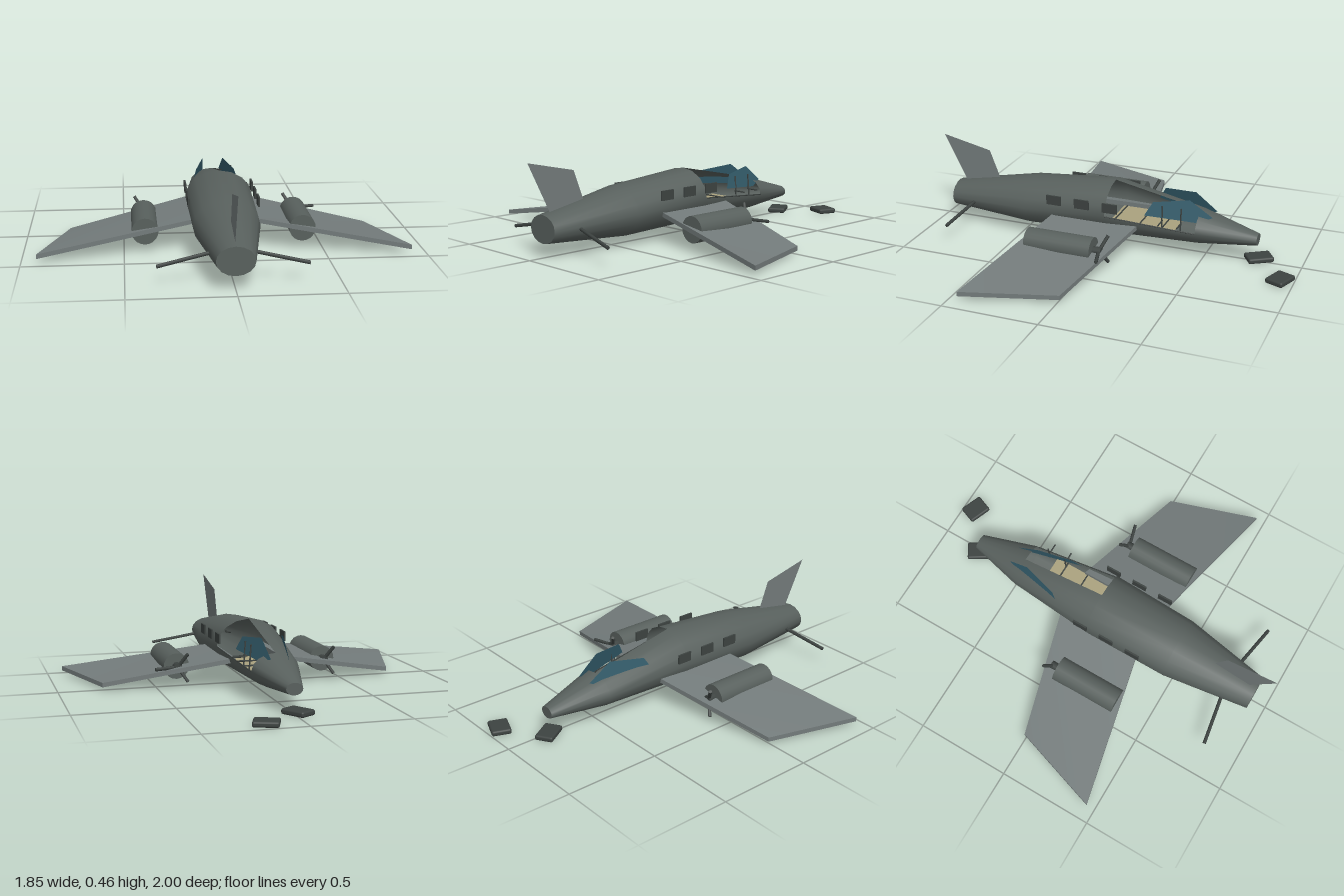
import * as THREE from 'three';
import { RoundedBoxGeometry } from 'three/addons/geometries/RoundedBoxGeometry.js';

const mat = (name, color, side = THREE.FrontSide) => {
  const m = new THREE.MeshStandardMaterial({ color, side });
  m.name = name;
  return m;
};
const V = (x, y, z) => new THREE.Vector3(x, y, z);

export function createModel() {
  const root = new THREE.Group();
  root.name = 'wreckedAircraft';
  const hull = mat('hullGrey', 0x58605d, THREE.DoubleSide);
  const wingGrey = mat('wingGrey', 0x737b7b, THREE.DoubleSide);
  const dark = mat('darkMetal', 0x3d4341);
  const glass = mat('canopyGlass', 0x335c6b, THREE.DoubleSide);
  const tan = mat('cabinFloorTan', 0xaaa27e);

  const add = (name, geo, material, parent = root) => {
    const m = new THREE.Mesh(geo, material);
    m.name = name;
    parent.add(m);
    return m;
  };
  // Thin rod between two points
  const rod = (name, a, b, r, material = dark, parent = root) => {
    const d = b.clone().sub(a);
    const m = add(name, new THREE.CylinderGeometry(r, r, d.length(), 6), material, parent);
    m.position.copy(a).add(b).multiplyScalar(0.5);
    m.quaternion.setFromUnitVectors(V(0, 1, 0), d.normalize());
    return m;
  };

  // Fuselage stations: z, half width, bottom, top
  const stations = [
    [-0.77, 0.042, 0.09, 0.15], [-0.47, 0.122, 0.065, 0.237], [0, 0.174, 0.055, 0.335],
    [0.46, 0.166, 0.04, 0.295], [0.92, 0.092, 0.068, 0.207],
  ];
  const N = 16, pos = [], idx = [];
  const ringPoint = ([z, rx, yb, yt], i) => {
    const t = (i / N) * Math.PI * 2;
    return [rx * Math.cos(t), (yb + yt) / 2 + (yt - yb) / 2 * Math.sin(t), z];
  };
  stations.forEach((s) => {
    for (let i = 0; i < N; i++) pos.push(...ringPoint(s, i));
  });
  for (let k = 0; k < stations.length - 1; k++) {
    for (let i = 0; i < N; i++) {
      if (k === 1 && i < N / 4) continue; // torn-open cabin quarter
      const j = (i + 1) % N, a = k * N + i, b = k * N + j;
      idx.push(a, b, a + N, b, b + N, a + N);
    }
  }
  const body = new THREE.BufferGeometry();
  body.setAttribute('position', new THREE.Float32BufferAttribute(pos, 3));
  body.setIndex(idx);
  body.computeVertexNormals();
  add('fuselage', body, hull);
  // Flat end caps
  [[stations[0], Math.PI, 'noseCap'], [stations[4], 0, 'tailCap']].forEach(([s, ry, name]) => {
    const cap = add(name, new THREE.CircleGeometry(1, N), hull);
    cap.scale.set(s[1], (s[3] - s[2]) / 2, 1);
    cap.rotation.y = ry;
    cap.position.set(0, (s[2] + s[3]) / 2, s[0]);
  });

  // Cabin floor, and the bent frames left in the opening
  const floor = add('cabinFloor', new THREE.BoxGeometry(0.25, 0.008, 0.35), tan);
  floor.position.set(0, 0.135, -0.175);
  [-0.02, -0.16, -0.285].forEach((z) =>
    rod('floorRib', V(-0.12, 0.143, z), V(0.13, 0.143, z), 0.004));
  [-0.29, -0.39].forEach((z) => {
    rod('cabinFrame', V(0.1, 0.19, z), V(0.168, 0.19, z), 0.004);
    rod('cabinPost', V(0.11, 0.14, z), V(0.1, 0.27, z), 0.004);
  });
  rod('cabinSill', V(0.172, 0.195, 0), V(0.122, 0.151, -0.47), 0.003);

  // Canopy side panes
  for (const s of [1, -1]) {
    const pane = new THREE.Shape([
      [-0.2, 0.215], [-0.24, 0.285], [-0.42, 0.305], [-0.54, 0.22], [-0.47, 0.19],
    ].map(([z, y]) => new THREE.Vector2(z, y)));
    const g = new THREE.ShapeGeometry(pane);
    const p = g.attributes.position;
    for (let i = 0; i < p.count; i++) {
      const z = p.getX(i), y = p.getY(i);
      p.setXYZ(i, s * (0.045 + (z + 0.54) * 0.235 - (y - 0.22) * 0.2), y, z);
    }
    g.computeVertexNormals();
    add('canopyPane', g, glass);
  }

  // Side windows
  for (const s of [1, -1]) {
    for (const z of [0.28, 0.125, -0.03]) {
      const w = add('sideWindow', new THREE.BoxGeometry(0.009, 0.05, 0.08), dark);
      w.position.set(s * 0.175, 0.245, z);
    }
  }

  // Wings: u runs from root to tip, v from leading to trailing edge
  const corners = [V(0.12, 0.153, -0.175), V(0.12, 0.152, 0.29), V(0.775, 0.027, -0.01), V(0.925, 0.034, 0.455)];
  const wingPoint = (s, u, v, dy = 0) => {
    const p = corners[0].clone().lerp(corners[1], v).lerp(corners[2].clone().lerp(corners[3], v), u);
    return V(s * p.x, p.y + dy, p.z);
  };
  for (const s of [1, -1]) {
    const g = new THREE.BoxGeometry(1, 1, 1);
    const p = g.attributes.position;
    for (let i = 0; i < p.count; i++) {
      const q = wingPoint(s, 0.5 + s * p.getX(i), p.getZ(i) + 0.5, p.getY(i) * 0.023);
      p.setXYZ(i, q.x, q.y, q.z);
    }
    g.computeVertexNormals();
    add('wing', g, wingGrey);
    // Spars and ribs under the wing
    for (const v of [0.3, 0.65]) {
      rod('wingSpar', wingPoint(s, 0.03, v, -0.014), wingPoint(s, 0.82, v, -0.014), 0.005);
    }
    for (const u of [0.16, 0.32, 0.52, 0.7]) {
      rod('wingRib', wingPoint(s, u, 0.15, -0.014), wingPoint(s, u, 0.9, -0.014), 0.004);
    }
    // Stub of the stripped tailplane
    rod('tailplaneSpar', V(s * 0.08, 0.142, 0.775), V(s * 0.355, 0.09, 0.82), 0.009, dark);
  }

  // Engines with bent propellers
  for (const s of [1, -1]) {
    const e = new THREE.Group();
    e.name = 'engine';
    e.position.set(s * 0.395, 0.109, 0);
    root.add(e);
    const nacelle = add('nacelle', new THREE.CylinderGeometry(0.067, 0.067, 0.355, 20), hull, e);
    nacelle.rotation.x = Math.PI / 2;
    nacelle.position.z = 0.148;
    const hub = add('propellerHub', new THREE.CylinderGeometry(0.022, 0.022, 0.045, 12), dark, e);
    hub.rotation.x = Math.PI / 2;
    hub.position.z = -0.05;
    [0, 1, 2].forEach((k) => {
      const t = (k * Math.PI * 2) / 3;
      const len = k ? 0.092 : s > 0 ? 0.122 : 0.065;
      rod('propellerBlade', V(0, 0, -0.058), V(Math.cos(t) * len, Math.sin(t) * len * 0.9, -0.092), 0.009, dark, e);
    });
  }

  // Tail fin
  const fin = add('tailFin', new THREE.ShapeGeometry(new THREE.Shape([
    [0.665, 0.23], [0.87, 0.2], [1, 0.46], [0.73, 0.4],
  ].map(([z, y]) => new THREE.Vector2(z, y)))), wingGrey);
  fin.rotation.y = -Math.PI / 2;

  // Loose padded slabs on the ground ahead of the nose
  [[0.185, -0.932, 0.124, 0.1, -0.37], [-0.015, -0.775, 0.094, 0.135, 0.56]].forEach(([x, z, w, d, r]) => {
    const slab = add('looseSlab', new RoundedBoxGeometry(w, 0.028, d, 2, 0.01), dark);
    slab.position.set(x, 0.014, z);
    slab.rotation.y = r;
  });
  return root;
}
